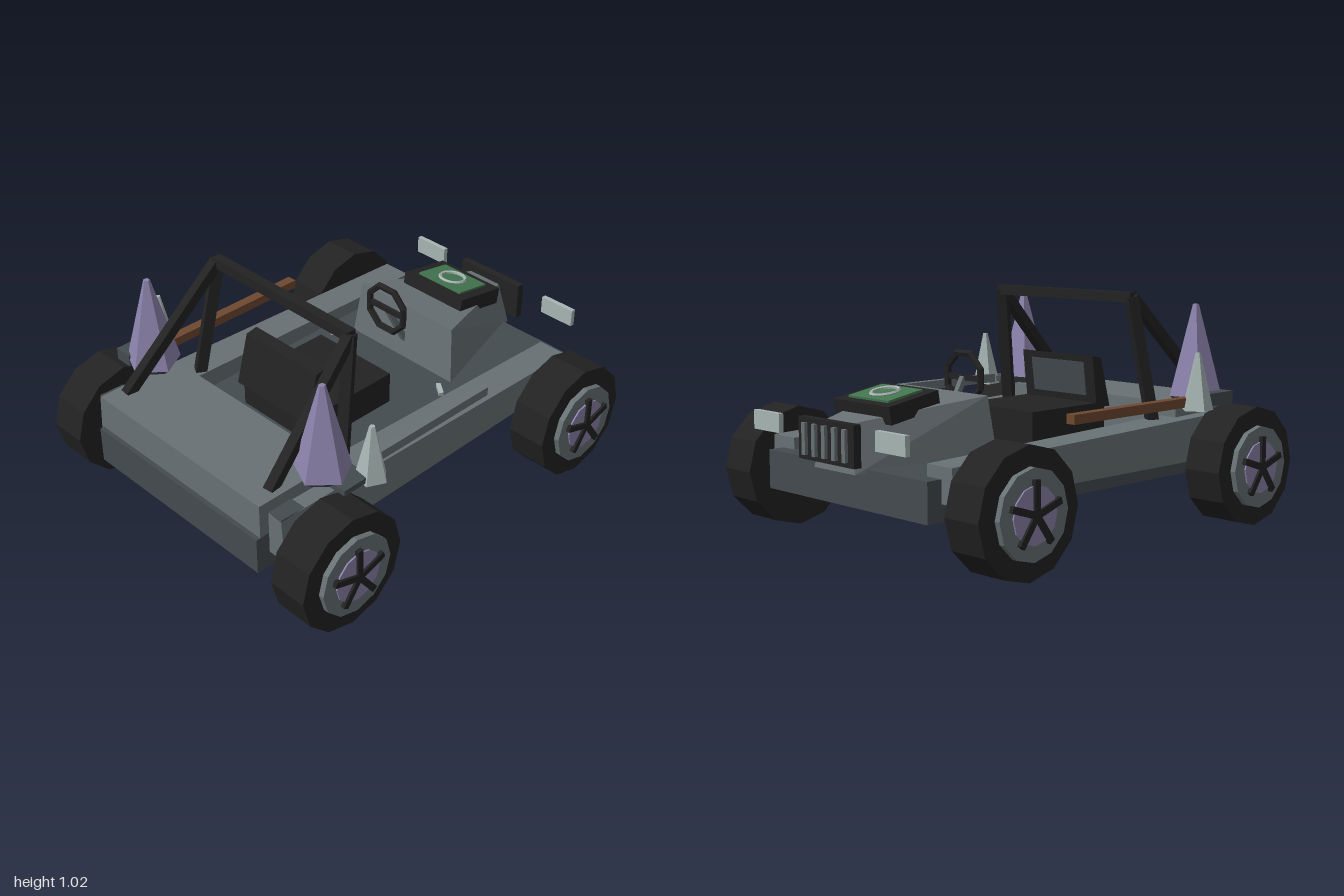
import * as THREE from 'three';
import { ConvexGeometry } from 'three/addons/geometries/ConvexGeometry.js';

export function createModel() {
  const root = new THREE.Group();
  root.name = 'buggy';
  const mat = (name, color) => Object.assign(new THREE.MeshStandardMaterial({ color }), { name });
  const black = mat('black', 0x222222);
  const panel = mat('panel grey', 0x687174);
  const slate = mat('slate', 0x444b50);
  const violet = mat('violet', 0x8c82ab);
  const pale = mat('pale crystal', 0xa6b5b3);
  const green = mat('green', 0x437650);
  const brown = mat('brown', 0x6e4830);

  // Faceted mesh
  function add(name, geometry, material, pos = [0, 0, 0], parent = root) {
    const g = geometry.index ? geometry.toNonIndexed() : geometry;
    g.computeVertexNormals();
    const m = new THREE.Mesh(g, material);
    m.name = name;
    m.position.set(...pos);
    parent.add(m);
    return m;
  }
  // Box from its minimum and maximum corners
  const box = (name, material, a, b, parent) => add(name,
    new THREE.BoxGeometry(b[0] - a[0], b[1] - a[1], b[2] - a[2]), material,
    a.map((v, i) => (v + b[i]) / 2), parent);
  // Solid hull around a few corners
  const hull = (name, material, pts) =>
    add(name, new ConvexGeometry(pts.map(p => new THREE.Vector3(...p))), material);
  // Square bar between two points
  function bar(name, material, a, b, w) {
    const p = new THREE.Vector3(...a), q = new THREE.Vector3(...b);
    const m = add(name, new THREE.BoxGeometry(w, w, p.distanceTo(q) + w * 0.3), material,
      p.clone().add(q).multiplyScalar(0.5).toArray());
    m.lookAt(q);
    return m;
  }

  // Body: floor pan, raised deck and side pods
  box('floorPan', slate, [-0.5, 0.21, -0.9], [0.5, 0.375, 0.965]);
  box('deck', panel, [-0.5, 0.375, 0.55], [0.5, 0.53, 0.945]);
  for (const s of [-1, 1]) {
    const section = (z, xi, xt, xb, top) =>
      [[s * xi, 0.28, z], [s * xi, top, z], [s * xt, top, z], [s * xb, 0.28, z]];
    hull('sidePod', panel, [...section(-0.83, 0.42, 0.56, 0.565, 0.425),
      ...section(0.9, 0.405, 0.573, 0.587, 0.475)]);
    hull('podEndCap', slate, [[s * 0.5, 0.477, 0.78], [s * 0.573, 0.477, 0.78],
      [s * 0.5, 0.479, 0.9], [s * 0.573, 0.479, 0.9], [s * 0.5, 0.47, 0.78], [s * 0.573, 0.47, 0.9]]);
  }

  // Tapered hood
  const hood = [];
  for (const s of [-1, 1]) {
    hood.push([s * 0.305, 0.37, -0.35], [s * 0.275, 0.627, -0.375],
      [s * 0.085, 0.55, -0.915], [s * 0.13, 0.355, -0.945]);
  }
  hull('hood', panel, hood);

  // Tilted engine box with green plate and ring
  const engine = new THREE.Group();
  engine.name = 'engine';
  engine.position.set(0, 0.6, -0.675);
  engine.rotation.x = -0.17;
  root.add(engine);
  box('engineBox', black, [-0.175, -0.04, -0.13], [0.175, 0.035, 0.13], engine);
  box('engineBlock', black, [-0.12, -0.1, -0.12], [0.12, -0.04, 0.0], engine);
  box('greenPlate', green, [-0.125, 0.035, -0.09], [0.125, 0.044, 0.09], engine);
  const ring = add('plateRing', new THREE.TorusGeometry(0.058, 0.008, 5, 20), pale, [0, 0.048, 0], engine);
  ring.rotation.x = Math.PI / 2;

  // Grille with ribs, and lamps
  box('grille', black, [-0.175, 0.39, -0.985], [0.175, 0.56, -0.95]);
  for (let i = -2; i <= 2; i++) {
    box('grilleRib', panel, [i * 0.0635 - 0.011, 0.41, -1], [i * 0.0635 + 0.011, 0.54, -0.98]);
  }
  for (const x of [-0.392, 0.392]) {
    box('lamp', pale, [x - 0.087, 0.475, -0.987], [x + 0.087, 0.555, -0.965]);
  }

  // Seat
  box('seatCushion', black, [-0.215, 0.375, -0.055], [0.215, 0.52, 0.4]);
  const back = [], inset = [];
  for (const x of [-1, 1]) {
    back.push([x * 0.215, 0.5, 0.35], [x * 0.215, 0.5, 0.435],
      [x * 0.215, 0.73, 0.32], [x * 0.215, 0.72, 0.375]);
    inset.push([x * 0.16, 0.55, 0.34], [x * 0.16, 0.55, 0.348],
      [x * 0.16, 0.7, 0.32], [x * 0.16, 0.7, 0.328]);
  }
  hull('seatBack', black, back);
  hull('seatBackInset', slate, inset);

  // Steering wheel, column and pedals
  add('steeringWheel', new THREE.TorusGeometry(0.11, 0.016, 5, 8).rotateZ(Math.PI / 8), black, [0, 0.667, -0.25]);
  box('steeringSpoke', black, [-0.1, 0.655, -0.258], [0.1, 0.679, -0.242]);
  bar('steeringColumn', panel, [0, 0.665, -0.255], [0, 0.455, -0.37], 0.024);
  for (const s of [-1, 1]) {
    bar('pedal', pale, [s * 0.345, 0.385, -0.245], [s * 0.3, 0.395, -0.275], 0.02);
  }

  // Roll cage
  bar('rollBarTop', black, [-0.4, 0.995, 0.365], [0.4, 0.995, 0.365], 0.044);
  for (const s of [-1, 1]) {
    bar('rollBarPost', black, [s * 0.397, 0.99, 0.365], [s * 0.445, 0.46, 0.455], 0.048);
    bar('rollBarStrut', black, [s * 0.4, 0.99, 0.37], [s * 0.448, 0.525, 0.84], 0.044);
  }

  // Side rails
  box('woodRail', brown, [-0.625, 0.53, -0.235], [-0.58, 0.57, 0.53]);
  box('metalRail', panel, [0.587, 0.53, -0.225], [0.62, 0.57, 0.5]);

  // Crystals on their bases
  for (const s of [-1, 1]) {
    const big = new THREE.CylinderGeometry(0.014, 0.12, 0.4, 5).rotateY(0.2);
    add('violetCrystal', big, violet, [s * 0.53, 0.76, 0.64]);
    add('crystalBase', new THREE.CylinderGeometry(0.118, 0.08, 0.035, 5).rotateY(0.2), slate, [s * 0.53, 0.543, 0.64]);
    add('paleCrystal', new THREE.CylinderGeometry(0.012, 0.07, 0.245, 5).rotateY(0.5), pale, [s * 0.657, 0.642, 0.5]);
  }
  box('crystalPlinth', slate, [-0.68, 0.53, 0.53], [-0.595, 0.585, 0.72]);
  box('crystalPlinth', slate, [0.58, 0.53, 0.53], [0.68, 0.555, 0.67]);

  // Wheels and suspension arms
  const disc = (r, w, n) => new THREE.CylinderGeometry(r, r, w, n).rotateZ(Math.PI / 2);
  for (const s of [-1, 1]) for (const z of [0.738, -0.66]) {
    const wheel = new THREE.Group();
    wheel.name = 'wheel';
    wheel.position.set(s * 0.707, 0.262, z);
    root.add(wheel);
    add('tyre', disc(0.262, 0.18, 12), black, [0, 0, 0], wheel);
    add('rim', disc(0.18, 0.04, 12), panel, [s * 0.095, 0, 0], wheel);
    add('hubDisc', disc(0.115, 0.02, 12), violet, [s * 0.112, 0, 0], wheel);
    for (let i = 0; i < 5; i++) {
      const spoke = new THREE.BoxGeometry(0.02, 0.135, 0.028).translate(0, 0.0675, 0);
      add('spoke', spoke.rotateX(i * Math.PI * 0.4), black, [s * 0.123, 0, 0], wheel);
    }
    const inner = z < 0 ? z + 0.16 : z - 0.1;
    bar('suspensionArm', panel, [s * 0.63, 0.265, z + 0.02], [s * 0.5, 0.305, inner], 0.04);
  }
  return root;
}
